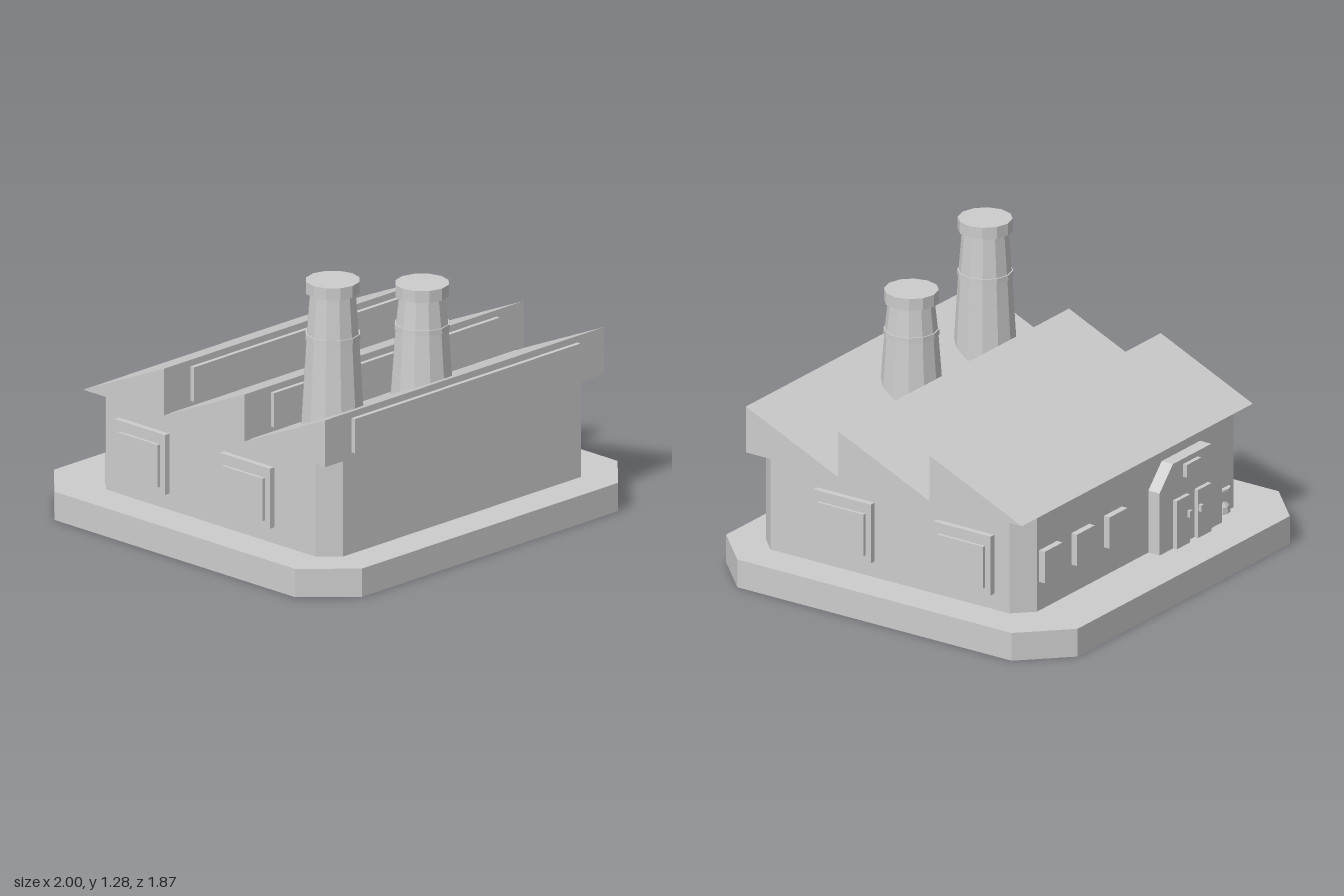
import * as THREE from 'three';

const grey = new THREE.MeshStandardMaterial({ color: 0xcccccc, flatShading: true });
grey.name = 'plain grey';

function add(parent, name, geometry, x = 0, y = 0, z = 0) {
  const mesh = new THREE.Mesh(geometry, grey);
  mesh.name = name;
  mesh.position.set(x, y, z);
  parent.add(mesh);
  return mesh;
}

// Box given by its limits on each axis
function block(parent, name, [x0, x1], [y0, y1], [z0, z1]) {
  return add(parent, name, new THREE.BoxGeometry(x1 - x0, y1 - y0, z1 - z0),
    (x0 + x1) / 2, (y0 + y1) / 2, (z0 + z1) / 2);
}

const toVectors = (points) => points.map(([x, y]) => new THREE.Vector2(x, y));

// Prism from an outline, with an optional hole
function extrude(points, depth, hole) {
  const shape = new THREE.Shape(toVectors(points));
  if (hole) shape.holes.push(new THREE.Path(toVectors(hole)));
  return new THREE.ExtrudeGeometry(shape, { depth, bevelEnabled: false });
}

// Rectangle with cut corners
function cutCorners(x, z, cut) {
  return [
    [-x + cut, -z], [x - cut, -z], [x, -z + cut], [x, z - cut],
    [x - cut, z], [-x + cut, z], [-x, z - cut], [-x, -z + cut],
  ];
}

// Tapered twelve-sided stack with a thin band and a wider cap
function chimney(parent, name, x, z, band, top) {
  const neck = top - 0.055;
  const profile = toVectors([
    [0, 0.575], [0.144, 0.575], [0.118, band - 0.012],
    [0.123, band - 0.012], [0.122, band + 0.012], [0.116, band + 0.012],
    [0.102, neck], [0.12, neck], [0.12, top], [0, top],
  ]);
  add(parent, name, new THREE.LatheGeometry(profile, 12), x, 0, z);
}

export function createModel() {
  const model = new THREE.Group();
  model.name = 'factory';

  // Hollow base, open underneath: a thin rim closed by a top plate
  const base = new THREE.Group();
  base.name = 'base';
  model.add(base);
  const outline = cutCorners(1, 0.935, 0.205);
  const inside = cutCorners(0.996, 0.931, 0.203);
  add(base, 'baseRim', extrude(outline, 0.126, inside).rotateX(-Math.PI / 2));
  add(base, 'baseTop', extrude(outline, 0.004).rotateX(-Math.PI / 2), 0, 0.126, 0);

  const walls = extrude(cutCorners(0.822, 0.721, 0.085), 0.447).rotateX(-Math.PI / 2);
  add(model, 'walls', walls, 0, 0.13, 0.044);

  // Sawtooth roof, each tooth with a long skylight on its upright face
  const roof = new THREE.Group();
  roof.name = 'roof';
  model.add(roof);
  for (const front of [0.78, 0.29, -0.198]) {
    const tooth = extrude([[0, 0.575], [0.49, 0.575], [0, 0.79]], 1.73).rotateY(Math.PI / 2);
    add(roof, 'roofTooth', tooth, -0.865, 0, front);
    block(roof, 'skylight', [-0.7, 0.699], [0.602, 0.76], [front - 0.01, front + 0.02]);
  }

  chimney(model, 'tallChimney', -0.522, 0.492, 1.028, 1.282);
  chimney(model, 'shortChimney', 0.031, 0.492, 0.937, 1.132);

  // Framed windows on both side walls
  for (const side of [-1, 1]) {
    for (const z of [0.278, -0.359]) {
      const window = new THREE.Group();
      window.name = 'sideWindow';
      window.position.set(side * 0.82, 0, z);
      add(window, 'windowFrame', new THREE.BoxGeometry(0.06, 0.275, 0.305), 0, 0.342, 0);
      add(window, 'windowPane', new THREE.BoxGeometry(0.09, 0.195, 0.247), 0, 0.333, 0);
      model.add(window);
    }
  }

  // Small windows along the back wall
  for (const x of [0.168, 0.412, 0.654]) {
    block(model, 'backWindow', [x - 0.067, x + 0.067], [0.265, 0.412], [-0.708, -0.66]);
  }

  // Entrance porch with cut upper corners
  const entrance = new THREE.Group();
  entrance.name = 'entrance';
  model.add(entrance);
  add(entrance, 'porch', extrude([
    [-0.567, 0.13], [-0.098, 0.13], [-0.098, 0.42],
    [-0.198, 0.525], [-0.485, 0.525], [-0.567, 0.42],
  ], 0.08), 0, 0, -0.737);
  for (const side of [-1, 1]) {
    const x = -0.329 + side * 0.08;
    block(entrance, 'door', [x - 0.05, x + 0.05], [0.13, 0.355], [-0.757, -0.72]);
    const h = -0.329 + side * 0.042;
    block(entrance, 'doorHandle', [h - 0.01, h + 0.01], [0.255, 0.285], [-0.772, -0.75]);
  }
  block(entrance, 'signPlate', [-0.383, -0.275], [0.44, 0.5], [-0.757, -0.72]);

  // Little post mostly sunk into the back wall
  const post = toVectors([[0, 0.13], [0.055, 0.13], [0.05, 0.16], [0.028, 0.185],
    [0.028, 0.236], [0.055, 0.236], [0.055, 0.246], [0, 0.246]]);
  add(model, 'wallPost', new THREE.LatheGeometry(post, 12), -0.663, 0, -0.646);

  return model;
}
